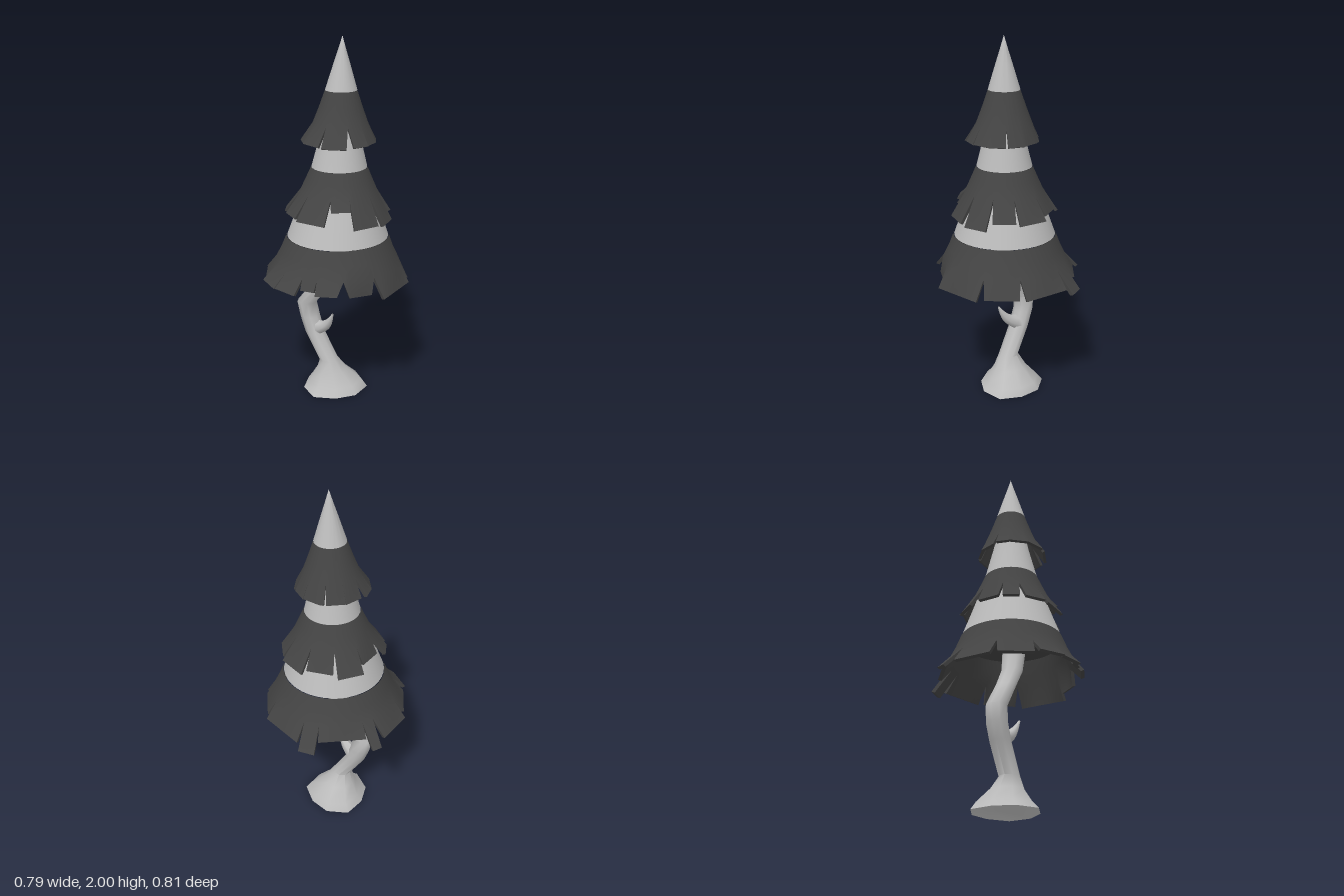
import * as THREE from 'three';
import { toCreasedNormals } from 'three/addons/utils/BufferGeometryUtils.js';

const RAD = Math.PI / 180;
// The canopy leans slightly: centre line by height
const axis = (y) => [0.012 + 0.022 * (y - 0.94), 0.014];

// Quads written as separate triangles, then smoothed up to a crease angle
function finish(pos, crease) {
  const g = new THREE.BufferGeometry();
  g.setAttribute('position', new THREE.Float32BufferAttribute(pos, 3));
  return toCreasedNormals(g, crease * RAD);
}
function quad(pos, a, b, c, d) {
  pos.push(...a, ...b, ...c, ...a, ...c, ...d);
}

// Horizontal rings [x, y, z, radius, wobble], listed from top to bottom
function loft(rings, sides, crease) {
  const pos = [];
  const point = (k, i) => {
    const [x, y, z, r, w = 0] = rings[k];
    const t = ((i % sides) / sides) * Math.PI * 2 + 0.2;
    const s = r * (1 + w * Math.sin(3 * t + 0.6));
    return [x + s * Math.cos(t), y, z + s * Math.sin(t)];
  };
  for (let k = 0; k < rings.length - 1; k++) {
    for (let i = 0; i < sides; i++) {
      quad(pos, point(k, i), point(k, i + 1), point(k + 1, i + 1), point(k + 1, i));
    }
  }
  return finish(pos, crease);
}
const cone = (list) => loft(list.map(([y, r]) => [axis(y)[0], y, axis(y)[1], r]), 40, 180);

// Thick skirt cut into hanging strips [startAngle, endAngle, hemRadius, hemY]
function skirt(rows, strips, thick) {
  const pos = [];
  const n = 6, last = rows.length;
  strips.forEach(([a0, a1, hemR, hemY], s) => {
    const prev = strips[(s + strips.length - 1) % strips.length];
    const next = strips[(s + 1) % strips.length];
    const m0 = (prev[1] - (s === 0 ? 360 : 0) + a0) / 2;
    const m1 = (a1 + next[0] + (s === strips.length - 1 ? 360 : 0)) / 2;
    const half = (a1 - a0) / 2;
    const point = (k, i, inset) => {
      const hem = k === last, u = i / n;
      const [y, r] = hem ? [hemY, hemR] : rows[k];
      const t = (hem ? a0 + (a1 - a0) * u : m0 + (m1 - m0) * u) * RAD;
      // The hem of each strip is a straight chord
      const flat = hem ? Math.cos(half * RAD) / Math.cos((u * 2 - 1) * half * RAD) : 1;
      const R = r * flat - inset;
      const [cx, cz] = axis(y);
      return [cx + R * Math.cos(t), y - inset * 0.4, cz + R * Math.sin(t)];
    };
    const loop = [];
    for (let k = 0; k <= last; k++) loop.push([k, 0]);
    for (let k = last; k >= 0; k--) loop.push([k, thick]);
    for (let j = 0; j < loop.length - 1; j++) {
      for (let i = 0; i < n; i++) {
        const [k, d] = loop[j], [k2, d2] = loop[j + 1];
        quad(pos, point(k, i, d), point(k, i + 1, d), point(k2, i + 1, d2), point(k2, i, d2));
      }
    }
    // Cut edges of the strip
    const edge = (i) => [point(last - 1, i, 0), point(last, i, 0), point(last, i, thick), point(last - 1, i, thick)];
    quad(pos, ...edge(0));
    quad(pos, ...edge(n).reverse());
  });
  return finish(pos, 40);
}

// Tapered, curved twig
function twig(points, r0, r1) {
  const curve = new THREE.CatmullRomCurve3(points.map((p) => new THREE.Vector3(...p)));
  const segs = 8, sides = 7;
  const g = new THREE.TubeGeometry(curve, segs, 1, sides, false);
  const p = g.attributes.position, v = new THREE.Vector3();
  for (let i = 0; i < p.count; i++) {
    const u = Math.floor(i / (sides + 1)) / segs;
    const c = curve.getPointAt(u);
    v.fromBufferAttribute(p, i).sub(c).multiplyScalar(r0 + (r1 - r0) * u).add(c);
    p.setXYZ(i, v.x, v.y, v.z);
  }
  g.computeVertexNormals();
  return g;
}

export function createModel() {
  // Double sided because the foot of the trunk is open
  const light = new THREE.MeshStandardMaterial({ color: 0xbcbcbc, side: THREE.DoubleSide });
  light.name = 'light grey';
  const dark = new THREE.MeshStandardMaterial({ color: 0x444444 });
  dark.name = 'dark grey';
  const group = new THREE.Group();
  const add = (name, geometry, material) => {
    const mesh = new THREE.Mesh(geometry, material);
    mesh.name = name;
    group.add(mesh);
  };

  // Crooked trunk with a flared, open foot
  add('trunk', loft([
    [0.05, 0.93, 0.035, 0.066], [0.005, 0.76, 0.015, 0.058], [-0.06, 0.65, -0.025, 0.054],
    [-0.155, 0.505, -0.083, 0.056], [-0.138, 0.42, -0.078, 0.057], [-0.112, 0.33, -0.057, 0.056],
    [-0.035, 0.175, -0.003, 0.055], [-0.02, 0.11, -0.01, 0.09, 0.04],
    [-0.002, 0.04, -0.02, 0.15, 0.06], [-0.005, 0, -0.015, 0.18, 0.07],
  ], 9, 60), light);
  add('twig', twig([[-0.1, 0.35, -0.05], [-0.06, 0.38, -0.005], [-0.036, 0.42, 0.025], [-0.018, 0.475, 0.052]], 0.046, 0.005), light);

  // Pale bands of the canopy
  add('tip', cone([[2, 0], [1.93, 0.021], [1.86, 0.043], [1.725, 0.084]]), light);
  add('middleBand', cone([[1.66, 0.07], [1.5, 0.103], [1.32, 0.148]]), light);
  add('lowerBand', cone([[1.28, 0.155], [1.1, 0.217], [0.94, 0.274]]), light);

  // Dark undersides closing each tier
  for (const [y, r] of [[1.66, 0.1], [1.27, 0.165], [0.925, 0.28]]) {
    add('underside', cone([[y, r], [y, 0]]), dark);
  }

  // Dark skirts with ragged strips
  add('topSkirt', skirt([[1.725, 0.084], [1.64, 0.113], [1.555, 0.145]], [
    [-70, -40, 0.187, 1.46], [-40, -12, 0.19, 1.46], [-8, 20, 0.195, 1.46], [20, 48, 0.195, 1.46],
    [48, 73, 0.2, 1.46], [85, 122, 0.208, 1.455], [127, 160, 0.208, 1.46], [160, 190, 0.208, 1.46],
    [190, 211, 0.205, 1.46], [218, 248, 0.19, 1.46], [248, 279, 0.187, 1.46], [283, 290, 0.187, 1.46],
  ], 0.014), dark);
  add('middleSkirt', skirt([[1.32, 0.149], [1.255, 0.177], [1.19, 0.206]], [
    [14, 40, 0.292, 1.04], [47, 77, 0.288, 1.05], [80, 103, 0.255, 1.14], [109, 144, 0.288, 1.07],
    [147, 171, 0.285, 1.08], [178, 196, 0.288, 1.08], [203, 232, 0.25, 1.1], [237, 266, 0.287, 1.07],
    [271, 302, 0.272, 1.09], [306, 338, 0.292, 1.07], [342, 367, 0.282, 1.08],
  ], 0.016), dark);
  add('bottomSkirt', skirt([[0.94, 0.277], [0.865, 0.306], [0.795, 0.34]], [
    [-17, 10, 0.392, 0.7], [16, 56, 0.402, 0.69], [63, 83, 0.355, 0.71], [94, 111, 0.39, 0.73],
    [113, 125, 0.37, 0.74], [127, 147, 0.408, 0.72], [147, 167, 0.415, 0.72], [170, 197, 0.398, 0.71],
    [202, 231, 0.415, 0.7], [237, 244, 0.447, 0.68], [246, 284, 0.398, 0.73],
    [286, 298, 0.435, 0.67], [301, 338, 0.408, 0.7],
  ], 0.018), dark);

  return group;
}
